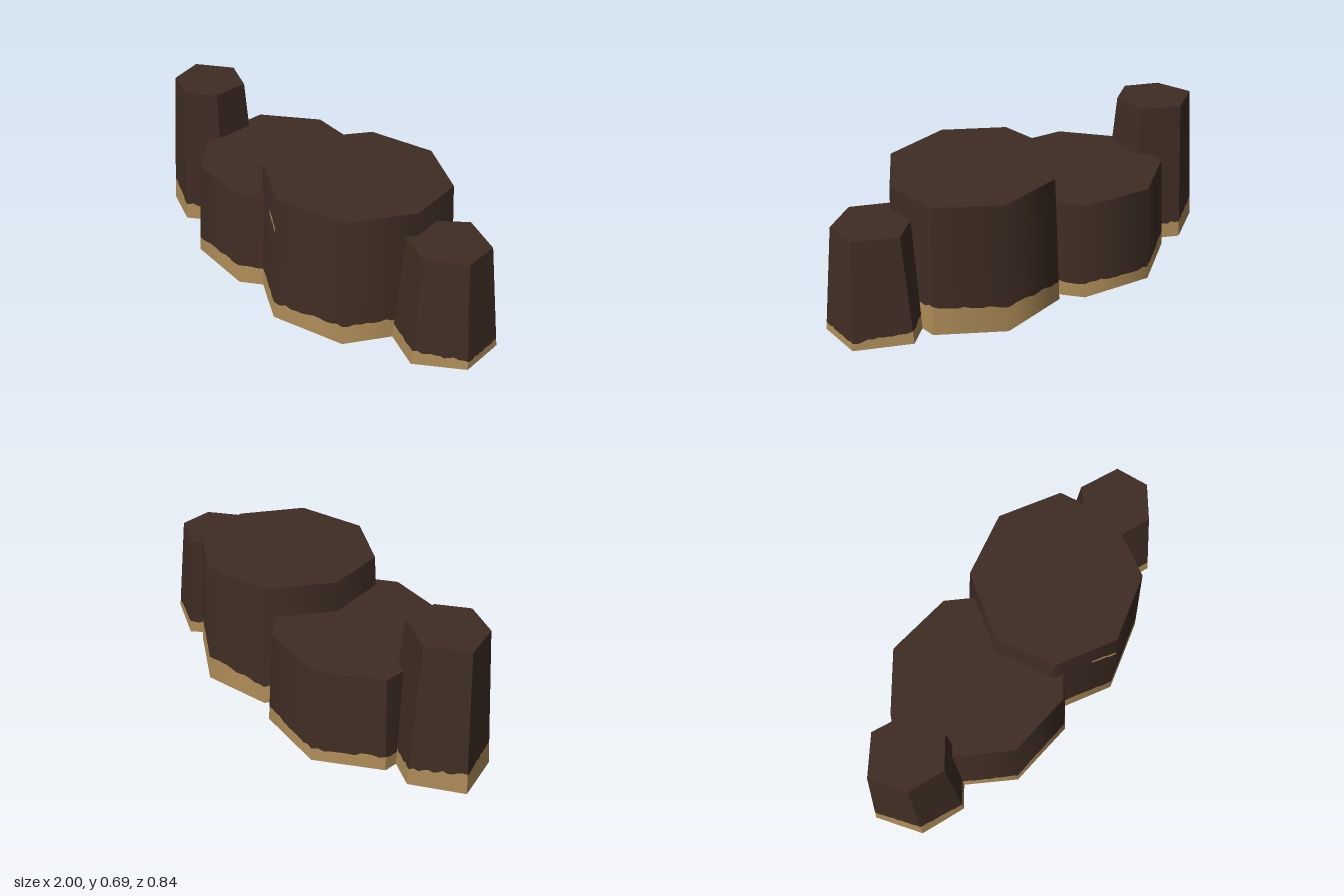
import * as THREE from 'three';

// Each rock: footprint corners [x, z, height of the sandy band], running left, front, right, back.
const ROCKS = [
  { name: 'tallLeftRock', height: 0.685, centre: [-0.765, 0.045], taper: 0.77, corners: [
    [-1, -0.02, 0.1], [-0.915, 0.195, 0.115], [-0.705, 0.265, 0.08],
    [-0.55, 0.135, 0.07], [-0.565, -0.085, 0.08], [-0.8, -0.175, 0.08]] },
  { name: 'lowWideRock', height: 0.46, centre: [-0.265, -0.007], taper: 0.935, corners: [
    [-0.68, -0.19, 0.07], [-0.655, 0.157, 0.055], [-0.435, 0.37, 0.07], [-0.1, 0.382, 0.09],
    [0.15, 0.18, 0.09], [0.13, -0.17, 0.08], [-0.09, -0.38, 0.07], [-0.43, -0.4, 0.06]] },
  { name: 'largeRock', height: 0.607, centre: [0.27, 0], taper: 0.93, corners: [
    [-0.155, -0.02, 0.1], [-0.085, 0.275, 0.095], [0.205, 0.418, 0.08], [0.54, 0.308, 0.09],
    [0.69, 0.01, 0.09], [0.63, -0.272, 0.14], [0.338, -0.42, 0.12], [0.017, -0.33, 0.09]] },
  { name: 'smallRightRock', height: 0.5, centre: [0.772, -0.055], taper: 0.76, corners: [
    [0.565, -0.12, 0.06], [0.59, 0.09, 0.07], [0.82, 0.17, 0.065],
    [1, 0.015, 0.04], [0.97, -0.195, 0.035], [0.725, -0.285, 0.06]] },
];

const STEPS = 12;             // wall segments per side, for the ragged band
const SMOOTH_ANGLE = 0.8;     // gentler corners than this are shaded smooth

function seeded(seed) {
  return () => {
    seed = (seed * 16807) % 2147483647;
    return seed / 2147483647;
  };
}

// Point on a tapered wall: t runs along the side from corner a to b, y is the height
function wallPoint(rock, a, b, t, y) {
  const s = 1 + (rock.taper - 1) * y / rock.height;
  const [cx, cz] = rock.centre;
  const x = a[0] + (b[0] - a[0]) * t;
  const z = a[1] + (b[1] - a[1]) * t;
  return new THREE.Vector3(cx + (x - cx) * s, y, cz + (z - cz) * s);
}

function buildRock(rock, stone, sand, seed) {
  const { corners, height } = rock;
  const n = corners.length;
  const random = seeded(seed);
  const corner = i => corners[(i + n) % n];
  const upper = { p: [], n: [] };
  const lower = { p: [], n: [] };
  const add = (part, points, normals) => points.forEach((p, i) => {
    part.p.push(p.x, p.y, p.z);
    part.n.push(normals[i].x, normals[i].y, normals[i].z);
  });
  const addQuad = (part, a, b, c, d, left, right) =>
    add(part, [a, b, c, a, c, d], [left, right, right, left, right, left]);

  const sideNormals = corners.map((a, i) => {
    const b = corner(i + 1);
    const p = wallPoint(rock, a, b, 0, 0);
    const along = wallPoint(rock, a, b, 1, 0).sub(p);
    const up = wallPoint(rock, a, b, 0, height).sub(p);
    return along.cross(up).normalize();
  });
  const cornerNormal = (own, other) =>
    own.angleTo(other) < SMOOTH_ANGLE ? own.clone().add(other).normalize() : own;

  const bandLine = corners.map(c => c[2]);
  corners.forEach((a, i) => {
    const b = corner(i + 1);
    const own = sideNormals[i];
    const start = cornerNormal(own, sideNormals[(i + n - 1) % n]);
    const end = cornerNormal(own, sideNormals[(i + 1) % n]);
    let previous = bandLine[i];
    for (let k = 0; k < STEPS; k++) {
      const t0 = k / STEPS, t1 = (k + 1) / STEPS;
      const jitter = k < STEPS - 1 ? (random() - 0.5) * 0.016 : 0;
      const next = THREE.MathUtils.lerp(a[2], b[2], t1) + jitter;
      const n0 = start.clone().lerp(end, t0).normalize();
      const n1 = start.clone().lerp(end, t1).normalize();
      const at = (t, y) => wallPoint(rock, a, b, t, y);
      addQuad(lower, at(t0, 0), at(t1, 0), at(t1, next), at(t0, previous), n0, n1);
      addQuad(upper, at(t0, previous), at(t1, next), at(t1, height), at(t0, height), n0, n1);
      previous = next;
    }
    // Slice of the flat top
    const up = new THREE.Vector3(0, 1, 0);
    const middle = new THREE.Vector3(rock.centre[0], height + 0.003, rock.centre[1]);
    add(upper, [middle, wallPoint(rock, a, b, 0, height), wallPoint(rock, a, b, 1, height)], [up, up, up]);
  });

  const geometry = new THREE.BufferGeometry();
  geometry.setAttribute('position', new THREE.Float32BufferAttribute([...upper.p, ...lower.p], 3));
  geometry.setAttribute('normal', new THREE.Float32BufferAttribute([...upper.n, ...lower.n], 3));
  geometry.addGroup(0, upper.p.length / 3, 0);
  geometry.addGroup(upper.p.length / 3, lower.p.length / 3, 1);
  const mesh = new THREE.Mesh(geometry, [stone, sand]);
  mesh.name = rock.name;
  return mesh;
}

// Small sandy streak lying just off the front of the large rock
function buildStreak(rock, sand) {
  const outline = [[0.61, 0.468], [0.72, 0.458], [0.86, 0.457], [0.9, 0.446], [0.995, 0.445],
    [0.995, 0.468], [0.87, 0.47], [0.8, 0.482], [0.7, 0.478], [0.61, 0.486]];
  const [a, b] = [rock.corners[1], rock.corners[2]];
  const shape = outline.map(([t, y]) => new THREE.Vector2(t, y));
  const positions = outline.flatMap(([t, y]) => {
    const p = wallPoint(rock, a, b, t, y);
    return [p.x - 0.002, p.y, p.z + 0.004];
  });
  const geometry = new THREE.BufferGeometry();
  geometry.setAttribute('position', new THREE.Float32BufferAttribute(positions, 3));
  geometry.setIndex(THREE.ShapeUtils.triangulateShape(shape, []).flat());
  geometry.computeVertexNormals();
  const mesh = new THREE.Mesh(geometry, sand);
  mesh.name = 'sandStreak';
  return mesh;
}

export function createModel() {
  // Rocks are open underneath, so their insides show
  const stone = new THREE.MeshStandardMaterial({ color: 0x3e2c23, side: THREE.DoubleSide });
  stone.name = 'darkStone';
  const sand = new THREE.MeshStandardMaterial({ color: 0xac8b57, side: THREE.DoubleSide });
  sand.name = 'sand';

  const group = new THREE.Group();
  group.name = 'rockCluster';
  ROCKS.forEach((rock, i) => group.add(buildRock(rock, stone, sand, 101 + i * 37)));
  group.add(buildStreak(ROCKS[2], sand));
  return group;
}
